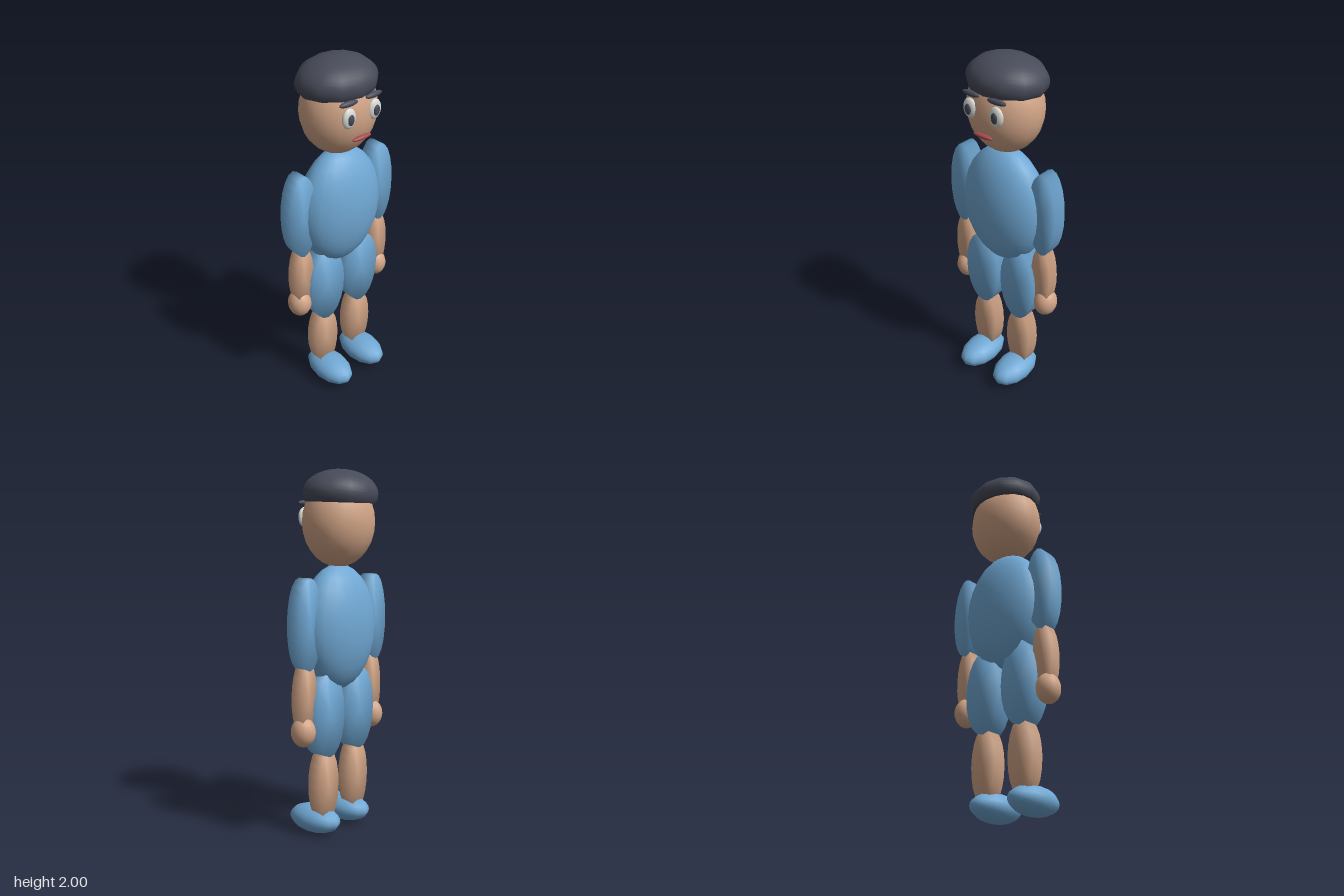
import * as THREE from 'three';
import { mergeVertices } from 'three/addons/utils/BufferGeometryUtils.js';

export function createModel() {
  const root = new THREE.Group();
  root.name = 'figure';

  const material = (name, color) => {
    const m = new THREE.MeshStandardMaterial({ color });
    m.name = name;
    return m;
  };
  const blue = material('blue cloth', 0x70a8d4);
  const skin = material('skin', 0xd2a587);
  const dark = material('dark hair', 0x474a58);
  const white = material('eye white', 0xd8d8d4);
  const red = material('lip red', 0xa84a4a);

  const add = (name, geometry, mat, [x, y, z], parent = root) => {
    const mesh = new THREE.Mesh(geometry, mat);
    mesh.name = name;
    mesh.position.set(x, y, z);
    parent.add(mesh);
    return mesh;
  };

  // Ellipsoid with the given radii, optionally cut off at a polar angle
  const ellipsoid = (rx, ry, rz, cut = Math.PI, around = 14) =>
    new THREE.SphereGeometry(1, around, 14, 0, Math.PI * 2, 0, cut).scale(rx, ry, rz);

  // Flat elliptical limb with softly shaded rims
  const limb = (rx, ry, depth) => {
    const g = new THREE.CylinderGeometry(1, 1, depth, 20, 1);
    g.rotateX(Math.PI / 2).scale(rx, ry, 1);
    g.deleteAttribute('normal');
    g.deleteAttribute('uv');
    const soft = mergeVertices(g, 1e-4);
    soft.computeVertexNormals();
    return soft;
  };

  // Body and head
  add('torso', ellipsoid(0.26, 0.345, 0.157, Math.PI, 20), blue, [0, 1.155, -0.008]);
  add('head', ellipsoid(0.212, 0.24, 0.187, Math.PI, 20), skin, [0, 1.722, -0.013]);
  const hair = add('hair', ellipsoid(0.221, 0.129, 0.196, Math.PI * 0.615, 12), dark, [0, 1.871, -0.025]);
  hair.rotation.x = -0.04;
  hair.material = dark;

  // Underside closing the hair against the head
  const cutAngle = Math.PI * 0.615;
  const under = new THREE.CircleGeometry(Math.sin(cutAngle), 12);
  under.rotateX(Math.PI / 2).scale(0.221, 1, 0.196);
  add('hairUnderside', under, dark, [0, 0.129 * Math.cos(cutAngle), 0], hair);

  add('mouth', ellipsoid(0.063, 0.012, 0.015), red, [0, 1.621, 0.164]);

  // Paired parts
  for (const [label, s] of [['left', 1], ['right', -1]]) {
    const side = new THREE.Group();
    side.name = label + 'Side';
    root.add(side);
    const part = (name, geometry, mat, x, y, z) =>
      add(label + name, geometry, mat, [s * x, y, z], side);

    // Face
    part('Eye', ellipsoid(0.042, 0.054, 0.02), white, 0.085, 1.748, 0.16);
    part('Pupil', ellipsoid(0.02, 0.029, 0.009), dark, 0.085, 1.746, 0.177);
    part('Brow', ellipsoid(0.057, 0.015, 0.016), dark, 0.083, 1.824, 0.155).rotation.y = s * 0.06;

    // Arm
    part('UpperArm', limb(0.087, 0.243, 0.088), blue, 0.275, 1.193, -0.014).rotation.z = s * 0.02;
    part('Forearm', limb(0.062, 0.185, 0.068), skin, 0.277, 0.805, -0.01).rotation.z = s * 0.03;
    part('Hand', ellipsoid(0.065, 0.082, 0.069), skin, 0.29, 0.618, -0.014);

    // Leg
    part('Thigh', limb(0.118, 0.235, 0.11), blue, 0.127, 0.688, -0.01);
    part('Shin', limb(0.082, 0.2, 0.08), skin, 0.127, 0.29, -0.012);
    part('Shoe', ellipsoid(0.1, 0.077, 0.168, Math.PI, 12), blue, 0.128, 0.077, 0.052);
  }

  return root;
}
